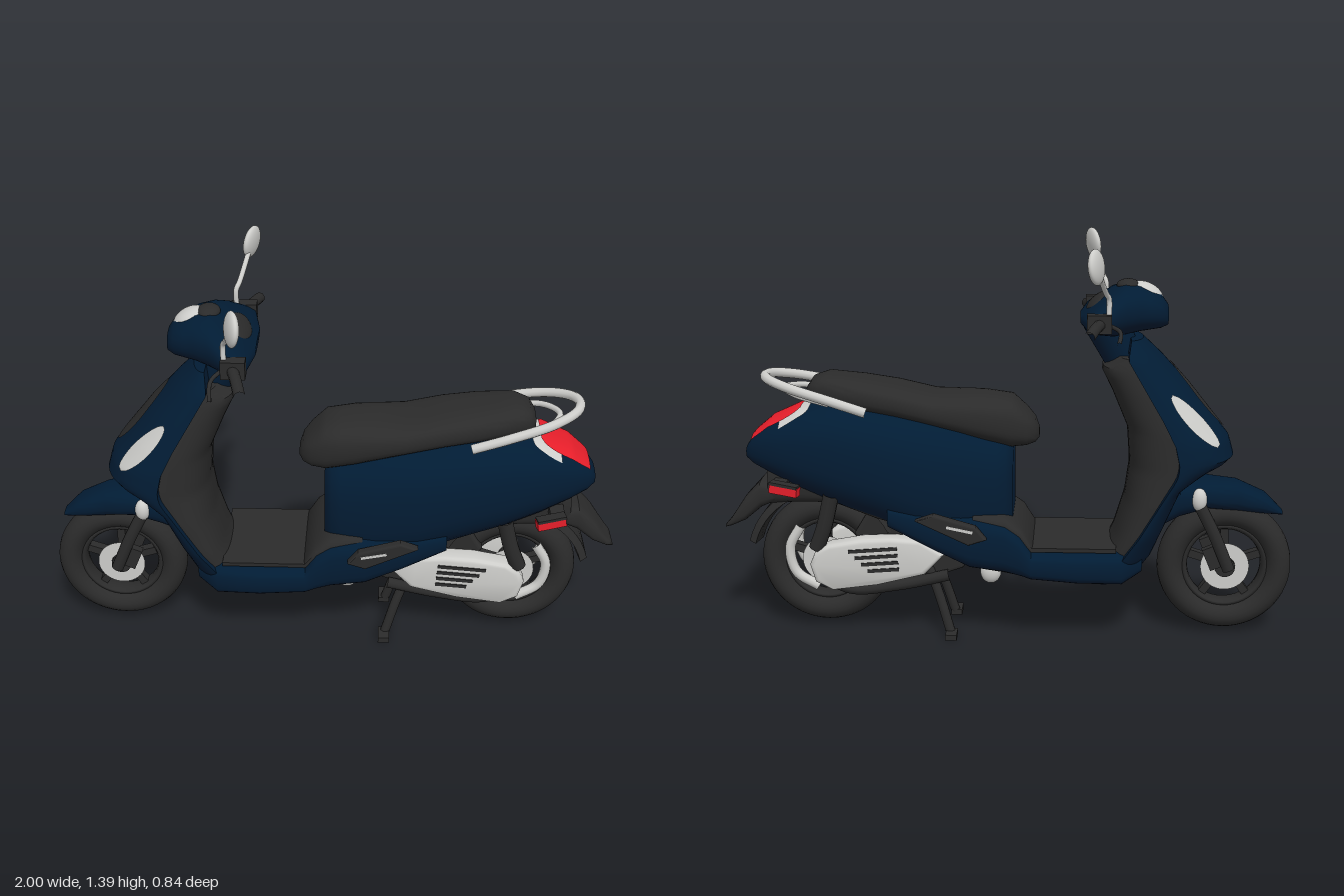
import * as THREE from 'three';
import { toCreasedNormals } from 'three/addons/utils/BufferGeometryUtils.js';

const V = (x, y, z) => new THREE.Vector3(x, y, z);
const mat = (name, color) => Object.assign(new THREE.MeshStandardMaterial({ color }), { name });

// linear interpolation in a table whose first column is the position
function sample(keys, t) {
  let i = 0;
  while (i < keys.length - 2 && t > keys[i + 1][0]) i++;
  const a = keys[i], b = keys[i + 1];
  const f = Math.min(1, Math.max(0, (t - a[0]) / (b[0] - a[0])));
  return a.map((v, k) => v + (b[k] - v) * f);
}
const pw = (v, e) => Math.sign(v) * Math.abs(v) ** e;

// point on a hull running along x; keys are [x, yBottom, yTop, halfWidth]
function hullPoint(keys, n, x, a, off = 0) {
  const [, b, t, w] = sample(keys, x);
  return V(x, (b + t) / 2 + ((t - b) / 2 + off) * pw(Math.sin(a), 2 / n), (w + off) * pw(Math.cos(a), 2 / n));
}

// point on the leg shield; keys are [y, xOuter, xEdge, halfWidth], u from -1 to 1, e squares the section
function shieldPoint(keys, y, u, off = 0, e = 1) {
  const [, xo, xe, w] = sample(keys, y), a = u * Math.PI / 2;
  return V(xe + (xo - xe + Math.sign(xo - xe) * off) * Math.max(0, Math.cos(a)) ** e, y, (w + off) * pw(Math.sin(a), e));
}

// skin over rows of points: closed capped solid, or open patch facing away from ref
function skin(rows, ref) {
  const n = rows[0].length, pts = rows.flat(), idx = [];
  for (let i = 0; i < rows.length - 1; i++)
    for (let j = 0; j < (ref ? n - 1 : n); j++) {
      const a = i * n + j, b = i * n + (j + 1) % n;
      idx.push(a, b, a + n, b, b + n, a + n);
    }
  if (!ref) [0, rows.length - 1].forEach((r, k) => {
    const c = pts.length;
    pts.push(rows[r].reduce((s, p) => s.add(p), V(0, 0, 0)).divideScalar(n));
    for (let j = 0; j < n; j++) {
      const a = r * n + j, b = r * n + (j + 1) % n;
      idx.push(c, k ? a : b, k ? b : a);
    }
  });
  const o = ref || V(0, 0, 0);
  let vol = 0;
  for (let i = 0; i < idx.length; i += 3) {
    const [a, b, c] = [0, 1, 2].map(k => pts[idx[i + k]].clone().sub(o));
    vol += a.dot(b.cross(c));
  }
  if (vol < 0) idx.reverse();
  const g = new THREE.BufferGeometry().setFromPoints(pts);
  g.setIndex(idx);
  return toCreasedNormals(g, 0.7);
}
const range = (n, a, b) => Array.from({ length: n + 1 }, (_, i) => a + (b - a) * i / n);

function hull(keys, n = 2.6) {
  const xs = keys.flatMap((k, i) => i ? [(k[0] + keys[i - 1][0]) / 2, k[0]] : [k[0]]);
  return skin(xs.map(x => range(35, 0, Math.PI * 2 * 35 / 36).map(a => hullPoint(keys, n, x, a))));
}
const shieldSolid = (keys, e) => skin(range(40, keys[0][0], keys[keys.length - 1][0])
  .map(y => range(28, -1, 1).map(u => shieldPoint(keys, y, u, 0, e))));

export function createModel() {
  const model = new THREE.Group();
  const blue = mat('navy paint', 0x021c34), dark = mat('black plastic', 0x2b2b2b);
  const light = mat('silver', 0xcdcdca), red = mat('red lens', 0xec1f2b);
  const add = (name, geo, m, x = 0, y = 0, z = 0, parent = model) => {
    const mesh = new THREE.Mesh(geo, m);
    mesh.name = name;
    mesh.position.set(x, y, z);
    parent.add(mesh);
    return mesh;
  };
  const tube = (name, pts, r, m) => add(name, new THREE.TubeGeometry(
    new THREE.CatmullRomCurve3(pts.map(p => V(...p))), 12 * (pts.length - 1), r, 10), m);
  const ball = (name, m, p, s) => {
    const b = add(name, new THREE.SphereGeometry(1, 28, 18), m, ...p);
    b.scale.set(...s);
    return b;
  };
  const plate = (pts, depth, bevel = 0.012) => new THREE.ExtrudeGeometry(
    new THREE.Shape(pts.map(p => new THREE.Vector2(...p))),
    { depth, bevelEnabled: true, bevelSize: bevel, bevelThickness: bevel, bevelSegments: 3 }).translate(0, 0, -depth / 2);
  const axle = (r, h) => new THREE.CylinderGeometry(r, r, h, 32).rotateX(Math.PI / 2);

  // wheels
  for (const [name, x, y] of [['frontWheel', -0.765, 0.25], ['rearWheel', 0.64, 0.255]]) {
    const wheel = new THREE.Group();
    wheel.name = name;
    wheel.position.set(x, y, 0);
    model.add(wheel);
    add('tyre', new THREE.TorusGeometry(0.187, 0.048, 18, 56).scale(1, 1, 1.2), dark, 0, 0, 0, wheel);
    add('rim', new THREE.TorusGeometry(0.142, 0.014, 10, 48).scale(1, 1, 2.6), dark, 0, 0, 0, wheel);
    add('hub', axle(0.035, 0.11), dark, 0, 0, 0, wheel);
    for (let i = 0; i < 5; i++) {
      const a = i * Math.PI * 0.4 + 0.3;
      add('spoke', new THREE.BoxGeometry(0.13, 0.028, 0.035), dark, 0.08 * Math.cos(a), 0.08 * Math.sin(a), 0, wheel).rotation.z = a;
    }
    for (const s of [-1, 1])
      add('brakeDisc', new THREE.RingGeometry(0.036, 0.085, 36).rotateY(s < 0 ? Math.PI : 0), light, 0, 0, s * 0.042, wheel);
  }

  // front mudguard and fork
  add('frontMudguard', hull([[-0.96, 0.435, 0.45, 0.03], [-0.9, 0.44, 0.51, 0.058], [-0.8, 0.45, 0.555, 0.073],
    [-0.7, 0.46, 0.565, 0.09], [-0.6, 0.43, 0.56, 0.1], [-0.55, 0.4, 0.5, 0.08]]), blue);
  for (const s of [-1, 1]) {
    tube('forkLeg', [[-0.775, 0.25, s * 0.075], [-0.72, 0.38, s * 0.08], [-0.66, 0.5, s * 0.08]], 0.022, dark);
    ball('forkCap', light, [-0.665, 0.505, s * 0.085], [0.027, 0.04, 0.025]);
    add('brakeCaliper', new THREE.BoxGeometry(0.05, 0.08, 0.03), dark, -0.72, 0.29, s * 0.06).rotation.z = -0.4;
  }

  // leg shield with its inner panel, lamps and centre panel
  const shield = [[0.215, -0.45, -0.33, 0.15], [0.3, -0.51, -0.39, 0.19], [0.4, -0.55, -0.455, 0.215], [0.55, -0.61, -0.54, 0.225],
    [0.61, -0.7, -0.575, 0.23], [0.65, -0.785, -0.585, 0.23], [0.72, -0.765, -0.57, 0.225], [0.8, -0.7, -0.53, 0.21],
    [0.9, -0.62, -0.47, 0.188], [1, -0.53, -0.41, 0.165], [1.06, -0.465, -0.42, 0.11]];
  add('legShield', shieldSolid(shield), blue);
  add('innerPanel', shieldSolid([[0.3, -0.34, -0.41, 0.17], [0.38, -0.375, -0.465, 0.19], [0.5, -0.41, -0.535, 0.2],
    [0.62, -0.425, -0.605, 0.2], [0.75, -0.415, -0.58, 0.19], [0.88, -0.36, -0.51, 0.165], [0.96, -0.32, -0.455, 0.145],
    [1.0, -0.38, -0.43, 0.13]], 0.75), dark);
  const shieldPatch = (y0, y1, mid, half) => skin(range(20, 0, 1).map(t => range(10, -1, 1).map(k =>
    shieldPoint(shield, y0 + (y1 - y0) * t, mid(t) + k * half * Math.sin(Math.PI * t) ** 0.5, 0.006))), V(-0.5, 0.8, 0));
  add('centrePanel', shieldPatch(0.75, 0.98, () => 0, 0.2), dark);
  for (const s of [-1, 1]) add('frontIndicator', shieldPatch(0.71, 0.89, t => s * (0.51 + 0.15 * t), 0.15), light);

  // steering head
  add('neck', new THREE.CylinderGeometry(0.078, 0.06, 0.2, 28), blue, -0.375, 1.03, 0).rotation.z = -0.45;
  add('handlebarCowl', hull([[-0.545, 1.1, 1.17, 0.06], [-0.52, 1.09, 1.205, 0.095], [-0.45, 1.08, 1.235, 0.135],
    [-0.4, 1.07, 1.24, 0.17], [-0.36, 1.065, 1.225, 0.205], [-0.31, 1.075, 1.19, 0.235], [-0.275, 1.09, 1.16, 0.235],
    [-0.25, 1.11, 1.135, 0.1]], 2.3), blue);
  ball('headlight', light, [-0.472, 1.207, 0], [0.06, 0.034, 0.054]).rotation.z = 0.45;
  ball('instrumentPanel', dark, [-0.305, 1.178, 0], [0.045, 0.016, 0.088]).rotation.z = -0.7;
  ball('headlightHood', dark, [-0.41, 1.232, 0], [0.04, 0.022, 0.05]);
  for (const s of [-1, 1]) {
    tube('grip', [[-0.325, 1.135, s * 0.19], [-0.3, 1.13, s * 0.28], [-0.275, 1.115, s * 0.385]], 0.019, dark);
    add('switchPod', new THREE.BoxGeometry(0.08, 0.06, 0.045), dark, -0.31, 1.135, s * 0.228);
    tube('brakeLever', [[-0.34, 1.13, s * 0.22], [-0.375, 1.12, s * 0.29], [-0.37, 1.095, s * 0.39]], 0.007, dark);
    tube('mirrorStem', [[-0.34, 1.14, s * 0.222], [-0.34, 1.215, s * 0.222], [-0.33, 1.235, s * 0.24], [-0.3, 1.32, s * 0.35]], 0.009, light);
    ball('mirror', light, [-0.295, 1.335, s * 0.365], [0.02, 0.057, 0.058]).rotation.set(0, s * 0.35, -0.12);
  }

  // floor and rear bodywork
  add('floorBody', hull([[-0.47, 0.25, 0.34, 0.15], [-0.4, 0.213, 0.342, 0.2], [-0.25, 0.218, 0.34, 0.213], [-0.09, 0.232, 0.345, 0.215],
    [-0.05, 0.24, 0.41, 0.215], [0, 0.25, 0.45, 0.213], [0.12, 0.265, 0.47, 0.212], [0.25, 0.33, 0.48, 0.208], [0.4, 0.41, 0.5, 0.195]], 4), blue);
  add('floorMat', new THREE.BoxGeometry(0.36, 0.014, 0.36), dark, -0.2, 0.345, 0);
  add('undertray', hull([[-0.4, 0.21, 0.23, 0.12], [-0.25, 0.214, 0.24, 0.14], [-0.09, 0.228, 0.25, 0.14], [0, 0.246, 0.27, 0.14],
    [0.12, 0.261, 0.28, 0.13]], 8), dark);
  add('kickPanel', hull([[-0.095, 0.33, 0.352, 0.18], [-0.055, 0.33, 0.42, 0.188], [0, 0.33, 0.462, 0.19],
    [0.11, 0.33, 0.478, 0.185]], 5), dark);
  const body = [[-0.025, 0.36, 0.68, 0.11], [0.0, 0.34, 0.71, 0.145], [0.06, 0.33, 0.73, 0.165], [0.15, 0.33, 0.76, 0.187],
    [0.3, 0.36, 0.795, 0.208], [0.45, 0.42, 0.82, 0.207], [0.6, 0.47, 0.83, 0.19], [0.72, 0.52, 0.805, 0.162],
    [0.82, 0.57, 0.76, 0.128], [0.88, 0.6, 0.71, 0.09], [0.908, 0.62, 0.67, 0.055]];
  add('rearBody', hull(body), blue);

  // seat
  add('seat', hull([[-0.113, 0.705, 0.735, 0.035], [-0.1, 0.69, 0.77, 0.07], [-0.07, 0.68, 0.805, 0.1], [-0.02, 0.675, 0.85, 0.122],
    [0.08, 0.7, 0.862, 0.135], [0.25, 0.75, 0.863, 0.14], [0.38, 0.78, 0.893, 0.138], [0.5, 0.8, 0.912, 0.13],
    [0.62, 0.82, 0.926, 0.105], [0.67, 0.825, 0.91, 0.08], [0.69, 0.835, 0.88, 0.05]], 2.8), dark);

  // grab rail
  tube('grabRail', [[0.47, 0.815, 0.162], [0.6, 0.855, 0.155], [0.74, 0.89, 0.12], [0.82, 0.908, 0.06], [0.84, 0.912, 0],
    [0.82, 0.908, -0.06], [0.74, 0.89, -0.12], [0.6, 0.855, -0.155], [0.47, 0.815, -0.162]], 0.017, light);
  tube('innerRail', [[0.6, 0.835, 0.125], [0.72, 0.86, 0.09], [0.775, 0.87, 0], [0.72, 0.86, -0.09], [0.6, 0.835, -0.125]], 0.011, light);

  // tail lamp and rear indicators; half-angle widens from h0 to h1
  const bodyPatch = (x0, x1, h0, h1, off) => skin(range(16, 0, 1).map(t => range(24, -1, 1).map(k =>
    hullPoint(body, 2.6, x0 + (x1 - x0) * t, Math.PI / 2 + k * (h0 + (h1 - h0) * Math.sqrt(t)), off))), V(0.7, 0.6, 0));
  add('tailLampSurround', bodyPatch(0.68, 0.78, 0.35, 0.9, 0.004), light);
  add('tailLamp', bodyPatch(0.71, 0.885, 0.28, 0.86, 0.009), red);
  add('indicatorBar', new THREE.BoxGeometry(0.05, 0.028, 0.37), dark, 0.775, 0.553, 0);
  for (const s of [-1, 1]) {
    add('rearIndicator', new THREE.BoxGeometry(0.1, 0.03, 0.035), red, 0.75, 0.55, s * 0.188).rotation.set(0, s * 0.2, 0.12);
    add('indicatorMount', new THREE.BoxGeometry(0.1, 0.01, 0.037), dark, 0.75, 0.568, s * 0.188).rotation.set(0, s * 0.2, 0.12);
  }

  // rear mudguard and flap
  const arch = (r, w) => range(20, 0.25, 2.7).map(a => [[r, -w], [r + 0.025, -w * 0.8], [r + 0.025, w * 0.8], [r, w], [r - 0.01, 0]]
    .map(([q, z]) => V(0.64 + q * Math.cos(a), 0.26 + q * Math.sin(a), z)));
  add('rearMudguard', skin(arch(0.25, 0.085)), dark);
  add('wheelWell', hull([[0.3, 0.38, 0.52, 0.13], [0.45, 0.42, 0.55, 0.13], [0.6, 0.475, 0.6, 0.12], [0.74, 0.47, 0.62, 0.105],
    [0.83, 0.46, 0.62, 0.09]], 4), dark);
  add('rearFlap', hull([[0.77, 0.49, 0.53, 0.09], [0.86, 0.45, 0.55, 0.092], [0.92, 0.4, 0.485, 0.085], [0.97, 0.378, 0.41, 0.07],
    [0.995, 0.37, 0.38, 0.05]], 4), dark);

  // engine, stand and footrests
  add('engineBlock', plate([[0.14, 0.36], [0.16, 0.25], [0.3, 0.2], [0.44, 0.22], [0.52, 0.36], [0.46, 0.46], [0.2, 0.42]], 0.13), dark);
  for (const s of [-1, 1]) {
    add('engineCover', toCreasedNormals(plate([[0.235, 0.305], [0.3, 0.345], [0.4, 0.35], [0.5, 0.345], [0.61, 0.325], [0.65, 0.3],
      [0.665, 0.265], [0.65, 0.215], [0.6, 0.19], [0.45, 0.21], [0.29, 0.25]], 0.045, 0.016), 0.8), light, 0, 0, s * 0.109);
    for (let i = 0; i < 4; i++)
      add('coverVent', new THREE.BoxGeometry(0.17 - 0.02 * i, 0.012, 0.006), dark, 0.46 - 0.012 * i, 0.325 - 0.024 * i, s * 0.148).rotation.z = -0.08;
    tube('rearArm', [[0.2, 0.22, s * 0.09], [0.38, 0.18, s * 0.09], [0.55, 0.165, s * 0.09], [0.66, 0.22, s * 0.085]], 0.02, dark);
    tube('rearStrut', [[0.66, 0.17, s * 0.085], [0.74, 0.22, s * 0.08], [0.76, 0.31, s * 0.08], [0.72, 0.39, s * 0.08]], 0.018, light);
    tube('rearShock', [[0.66, 0.32, s * 0.115], [0.63, 0.4, s * 0.125], [0.6, 0.52, s * 0.135]], 0.028, dark);
    tube('standLeg', [[0.27, 0.24, s * 0.07], [0.23, 0.13, s * 0.09], [0.195, 0.015, s * 0.105]], 0.017, dark);
    add('standFoot', new THREE.BoxGeometry(0.04, 0.02, 0.07), dark, 0.19, 0.011, s * 0.125);
    add('footrest', plate([[0.07, 0.4], [0.12, 0.385], [0.29, 0.46], [0.24, 0.475], [0.1, 0.435]], 0.02, 0.008), dark, 0, 0, s * 0.225);
    add('footrestTrim', new THREE.BoxGeometry(0.09, 0.01, 0.006), light, 0.15, 0.433, s * 0.241).rotation.z = 0.2;
    ball('standBracket', light, [0.055, 0.225, s * 0.06], [0.037, 0.042, 0.028]);
  }
  return model;
}
